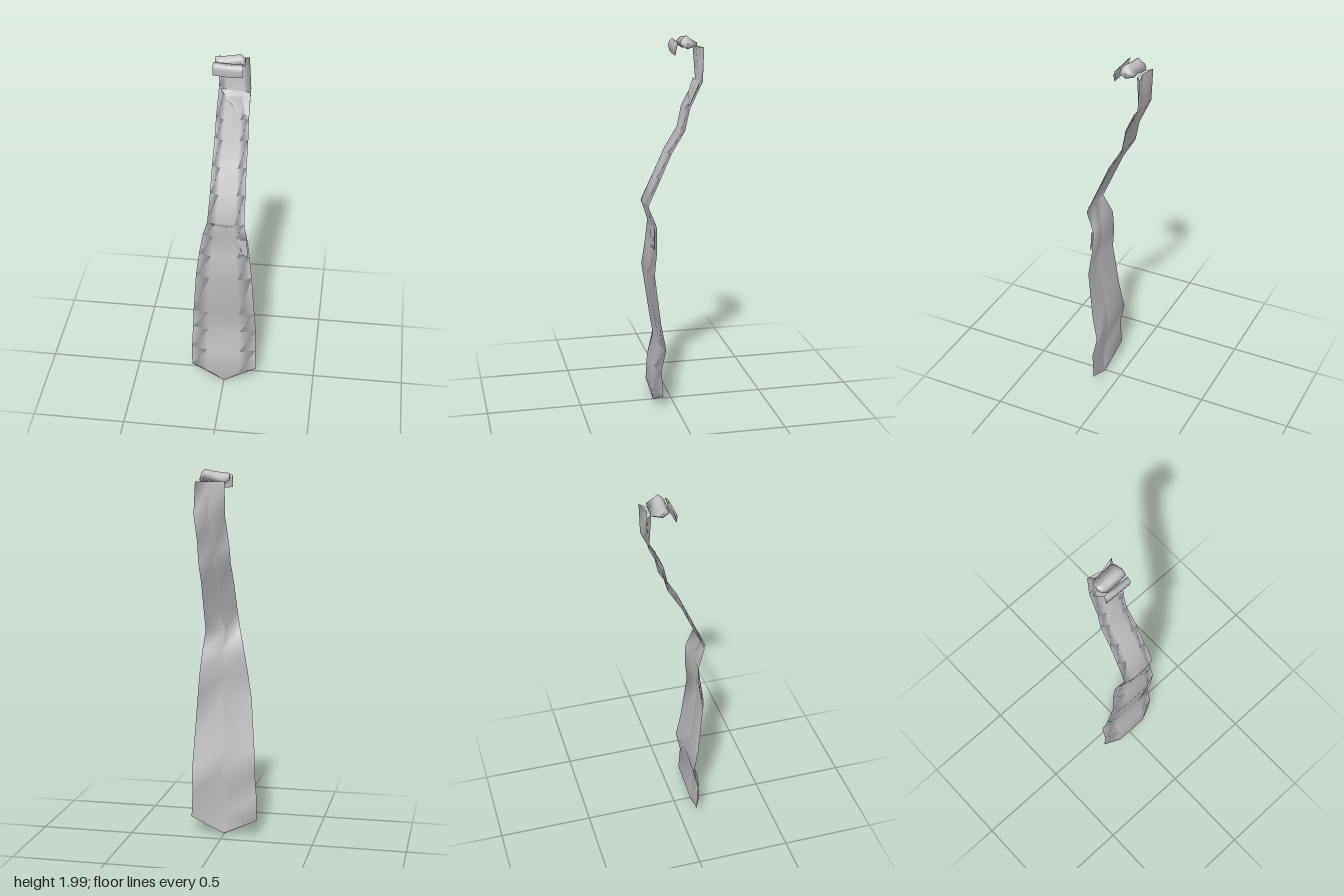
import * as THREE from 'three';

const cloth = new THREE.MeshStandardMaterial({ color: 0xc0c0c0, side: THREE.DoubleSide });
cloth.name = 'grey cloth';

// Joins equally long rows of points; first and last columns stay split, so a seam there is sharp
function loft(name, rings) {
  const n = rings[0].length, index = [];
  for (let r = 0; r < rings.length - 1; r++) {
    for (let i = 0; i < n - 1; i++) {
      const a = r * n + i, b = a + 1, c = a + n, d = b + n;
      index.push(b, a, c, b, c, d);
    }
  }
  const g = new THREE.BufferGeometry();
  g.setAttribute('position', new THREE.Float32BufferAttribute(rings.flat(2), 3));
  g.setIndex(index);
  g.computeVertexNormals();
  const mesh = new THREE.Mesh(g, cloth);
  mesh.name = name;
  return mesh;
}

// Cross-section of the blade: rounded front, sharp groove along the back
function bladeRing([y, xl, xr, zb, zf, wiggle]) {
  const mid = (xl + xr) / 2, w = (xr - xl) / 2;
  const groove = [mid + wiggle, y, zb + (zf - zb) * 0.6];
  return [
    groove, [xr, y, zb], [mid + w * 0.5, y, zf],
    [mid - w * 0.5, y, zf], [xl, y, zb], groove,
  ];
}

// Section across a piece that runs along x: corners are [y, z]
function crossRing(x, corners, dy = 0, scale = 1) {
  const cy = corners.reduce((s, p) => s + p[0], 0) / corners.length;
  const cz = corners.reduce((s, p) => s + p[1], 0) / corners.length;
  const ring = corners.map(([y, z]) => [x, cy + (y - cy) * scale + dy, cz + (z - cz) * scale]);
  return [...ring, ring[0]];
}

// Small folded flap on the front, given as a fan of corners
function fold(name, corners) {
  const index = [];
  for (let i = 1; i < corners.length - 1; i++) index.push(0, i, i + 1);
  const g = new THREE.BufferGeometry();
  g.setAttribute('position', new THREE.Float32BufferAttribute(corners.flat(), 3));
  g.setIndex(index);
  g.computeVertexNormals();
  const mesh = new THREE.Mesh(g, cloth);
  mesh.name = name;
  return mesh;
}

export function createModel() {
  const group = new THREE.Group();
  group.name = 'necktie';

  // Blade rows: y, left x, right x, back z, front z, groove offset
  const rows = [
    [0.01, -0.002, 0.002, 0.097, 0.1, 0],
    [0.1, -0.182, 0.18, 0.08, 0.122, 0.01],
    [0.24, -0.18, 0.176, 0.088, 0.114, -0.02],
    [0.36, -0.176, 0.173, 0.062, 0.082, 0.015],
    [0.5, -0.167, 0.167, 0.088, 0.105, -0.01],
    [0.77, -0.146, 0.152, 0.118, 0.146, 0.015],
    [0.9, -0.13, 0.138, 0.102, 0.128, -0.015],
    [1.02, -0.11, 0.122, 0.1, 0.116, 0.01],
    [1.13, -0.08, 0.112, 0.142, 0.153, -0.01],
    [1.27, -0.073, 0.11, 0.078, 0.092, 0.015],
    [1.4, -0.069, 0.108, 0.02, 0.035, -0.015],
    [1.52, -0.065, 0.107, -0.052, -0.036, 0.015],
    [1.63, -0.06, 0.107, -0.076, -0.058, -0.015],
    [1.77, -0.053, 0.11, -0.142, -0.13, 0.01],
    [1.94, -0.053, 0.1, -0.15, -0.117, 0],
  ];
  group.add(loft('blade', rows.map(bladeRing)));

  // Top edge of the neck
  const top = bladeRing(rows[rows.length - 1]);
  group.add(fold('neckEnd', [top[0], top[4], top[3], top[2], top[1]]));

  // Creases in the cloth
  group.add(fold('upperFold', [
    [-0.045, 1.767, -0.126], [0.02, 1.7, -0.086], [0.108, 1.64, -0.07], [0.11, 1.757, -0.122],
  ]));
  group.add(fold('waistFold', [[-0.06, 1.132, 0.154], [0.0, 1.088, 0.138], [0.075, 1.13, 0.155]]));
  group.add(fold('sideFold', [
    [0.025, 1.01, 0.118], [0.065, 0.95, 0.125], [0.13, 0.9, 0.115], [0.122, 1.015, 0.112],
  ]));

  // Knot pad behind the flap
  const pad = [[1.932, -0.065], [1.955, -0.03], [1.975, -0.045], [1.99, -0.065], [1.972, -0.085], [1.95, -0.122]];
  group.add(loft('knotPad', [
    crossRing(-0.062, pad, 0, 0.05),
    crossRing(-0.06, pad, 0, 0.65),
    crossRing(-0.035, pad, -0.008),
    crossRing(0.025, pad, 0),
    crossRing(0.065, pad, 0.01),
    crossRing(0.086, pad, -0.005, 0.85),
    crossRing(0.088, pad, -0.005, 0.05),
  ]));

  // Thin flap hanging at the front of the knot
  const flap = [[1.9, -0.006], [1.935, 0], [1.955, -0.006], [1.967, -0.022], [1.938, -0.013]];
  group.add(loft('knotFlap', [
    crossRing(-0.067, flap, 0.004, 0.05),
    crossRing(-0.066, flap, 0.004, 0.95),
    crossRing(0.0, flap, 0),
    crossRing(0.081, flap, 0),
    crossRing(0.082, flap, 0, 0.05),
  ]));

  return group;
}
